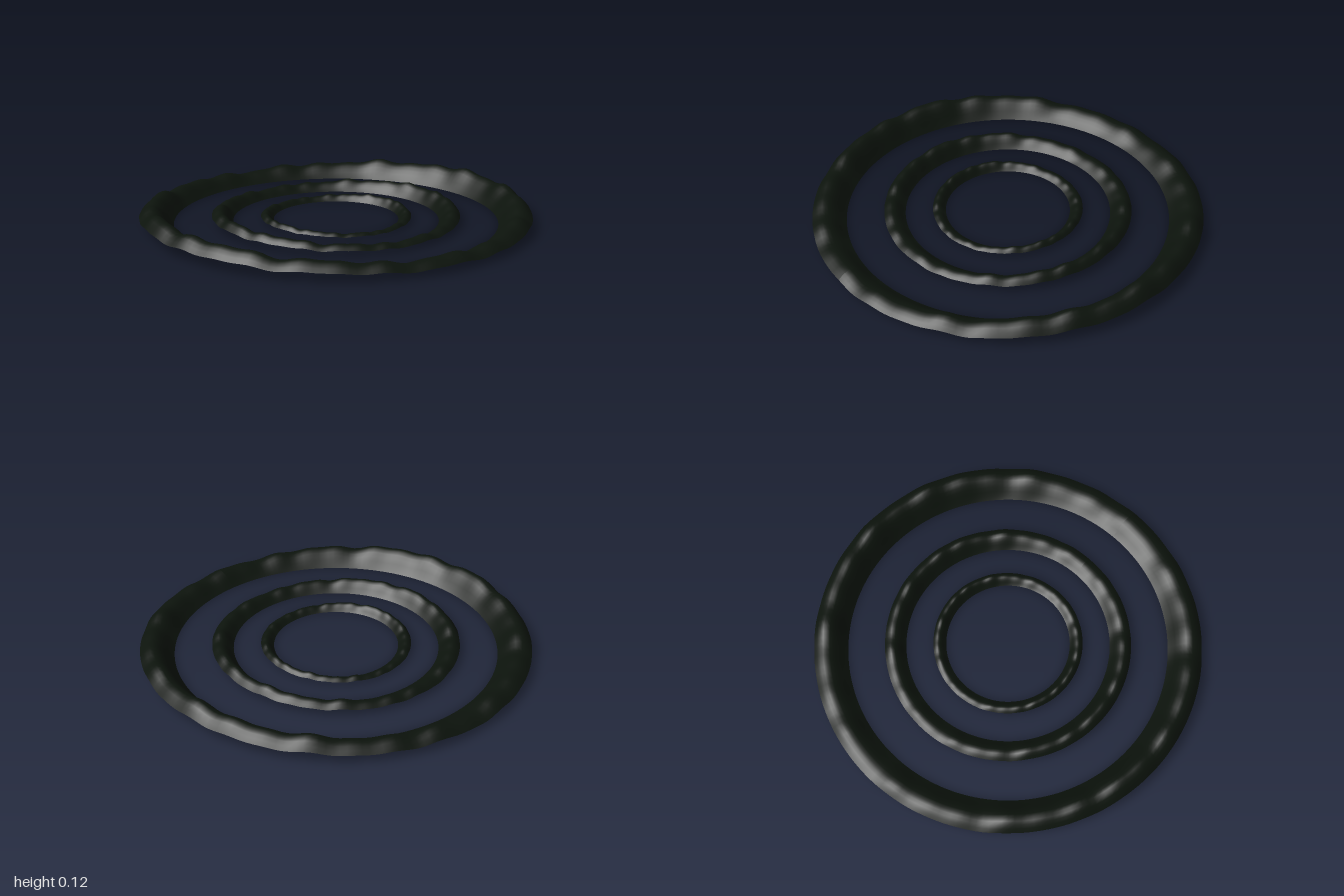
import * as THREE from 'three';

const INNER = 0.83; // inner radius of the unit ring

// Ridge height around the ring: low towards +-x, high towards +-z, with ripples
function crest(a, shift) {
  const ripples =
    0.005 * Math.sin(11 * a + 1.3 + shift) +
    0.006 * Math.sin(19 * a + 0.4 + 2 * shift) +
    0.005 * Math.sin(31 * a + 2.1 + 3 * shift);
  return 0.081 - 0.026 * Math.cos(2 * a) + ripples;
}

// Cross-section: ground level inside, crest past the middle, lower outer lip
function section(t) {
  return Math.pow(Math.sin(0.8 * Math.PI * t), 1.2);
}

// One thin rippled ring, scaled as a whole from the unit ring
function makeRing(name, scale, shift, material) {
  const geometry = new THREE.RingGeometry(INNER, 1, 192, 10);
  geometry.rotateX(-Math.PI / 2);
  const p = geometry.attributes.position;
  for (let i = 0; i < p.count; i++) {
    const x = p.getX(i), z = p.getZ(i);
    const t = THREE.MathUtils.clamp((Math.hypot(x, z) - INNER) / (1 - INNER), 0, 1);
    p.setY(i, crest(Math.atan2(z, x), shift) * section(t));
  }
  geometry.scale(scale, scale, scale);
  geometry.computeVertexNormals();
  const ring = new THREE.Mesh(geometry, material);
  ring.name = name;
  return ring;
}

export function createModel() {
  const group = new THREE.Group();
  group.name = 'concentricRidges';
  const material = new THREE.MeshStandardMaterial({ color: 0x0c130c, side: THREE.DoubleSide });
  group.add(
    makeRing('outerRidge', 1, 0, material),
    makeRing('middleRidge', 0.637, 1.7, material),
    makeRing('innerRidge', 0.387, 3.9, material)
  );
  return group;
}
